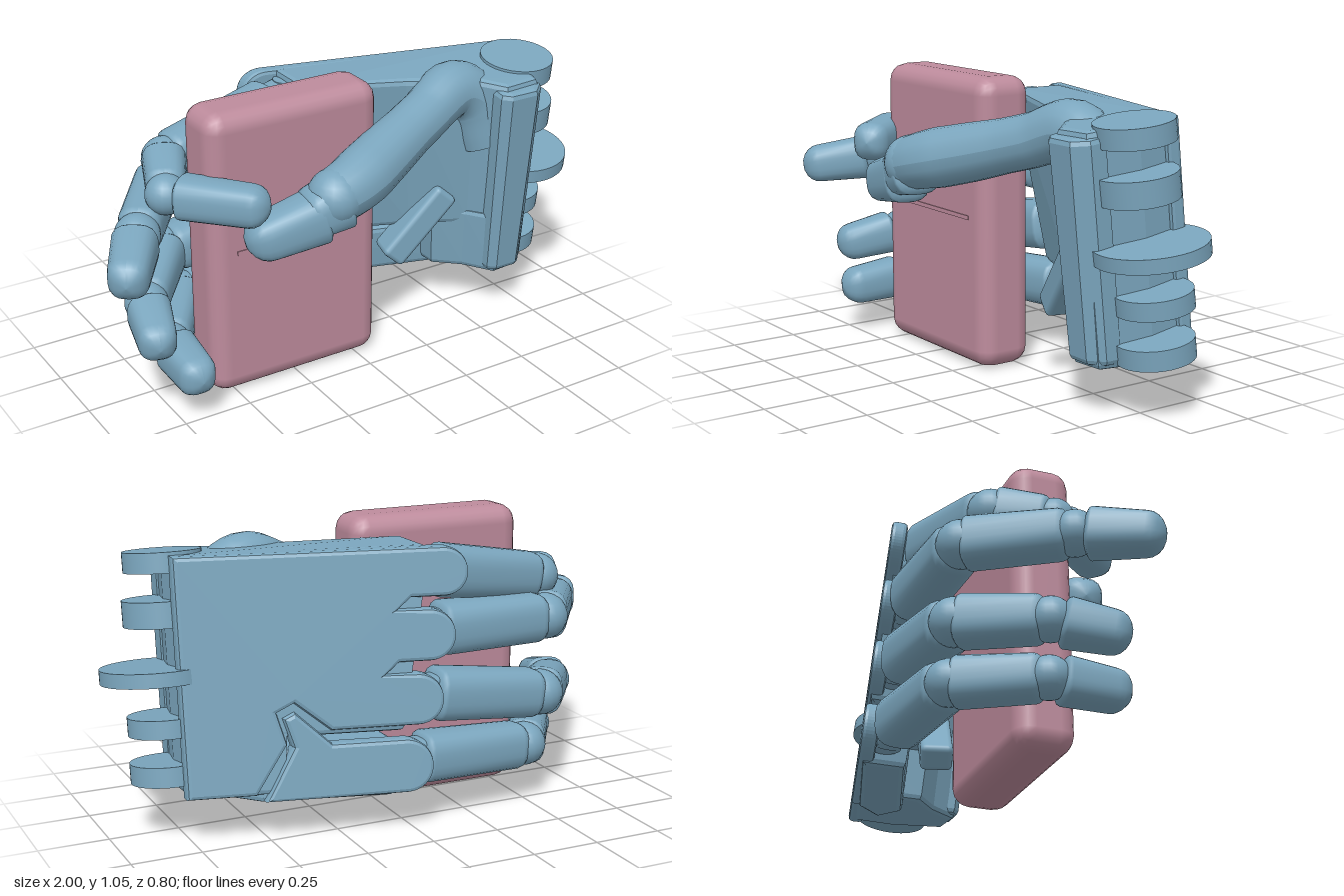
import * as THREE from 'three';
import { RoundedBoxGeometry } from 'three/addons/geometries/RoundedBoxGeometry.js';

const blue = new THREE.MeshStandardMaterial({ color: 0x7ba6be });
const pink = new THREE.MeshStandardMaterial({ color: 0xbd8b9c });
const V = (p) => new THREE.Vector3(...p);
const UP = new THREE.Vector3(0, 1, 0);

function add(parent, name, geometry, material = blue) {
  const mesh = new THREE.Mesh(geometry, material);
  mesh.name = name;
  parent.add(mesh);
  return mesh;
}

function ball(parent, name, c, r) {
  add(parent, name, new THREE.SphereGeometry(r, 20, 14)).position.set(...c);
}

// Rounded, slightly square bar from a to b; flat squeezes its depth, cap rounds its far end
function bar(parent, name, a, b, ra, rb, flat = 1, cap = 0.6) {
  const A = V(a), B = V(b), L = A.distanceTo(B);
  const ea = Math.min(0.35 * ra, L * 0.3), eb = Math.min(cap * rb, L * 0.45);
  const profile = [];
  for (let i = 0; i <= 5; i++) {
    const t = (i / 5) * Math.PI / 2;
    profile.push(new THREE.Vector2(ra * Math.sin(t), ea * (1 - Math.cos(t))));
  }
  for (let i = 0; i <= 5; i++) {
    const t = (i / 5) * Math.PI / 2;
    profile.push(new THREE.Vector2(rb * Math.cos(t), L - eb + eb * Math.sin(t)));
  }
  const g = new THREE.LatheGeometry(profile, 24);
  const p = g.attributes.position;
  for (let i = 0; i < p.count; i++) {
    const x = p.getX(i), z = p.getZ(i), r = Math.hypot(x, z) || 1;
    const f = Math.pow(Math.abs(x / r) ** 3 + Math.abs(z / r) ** 3 || 1, -1 / 3);
    p.setX(i, x * f * flat);
    p.setZ(i, z * f);
  }
  const dir = B.clone().sub(A).normalize();
  const side = dir.clone().cross(UP).normalize();
  g.applyMatrix4(new THREE.Matrix4().makeBasis(side, dir, side.clone().cross(dir)).setPosition(A));
  g.computeVertexNormals();
  add(parent, name, g);
}

function extrude(shape, depth, bevel) {
  return new THREE.ExtrudeGeometry(shape, {
    depth: depth - 2 * bevel, bevelThickness: bevel, bevelSize: bevel,
    bevelOffset: -bevel, bevelSegments: 2, curveSegments: 12,
  }).translate(0, 0, bevel);
}

// Plan outline (x, z) raised from y0 to y1, leaning with height as the hand does
function slab(parent, name, outline, y0, y1, bevel = 0.02) {
  const shape = new THREE.Shape(outline.map(([x, z]) => new THREE.Vector2(x, -z)));
  const g = extrude(shape, y1 - y0, bevel).rotateX(-Math.PI / 2).translate(0, y0, 0);
  const p = g.attributes.position;
  for (let i = 0; i < p.count; i++) {
    const x = p.getX(i), y = p.getY(i), z = p.getZ(i), h = y - 0.57;
    p.setX(i, x - 0.2 * h * THREE.MathUtils.clamp((0.7 - x) / 0.7, 0, 1));
    p.setZ(i, z + 0.1 * h);
    if (y > 0.7) p.setY(i, y - 0.13 * Math.max(0, z + 0.1));
  }
  g.computeVertexNormals();
  add(parent, name, g);
}

// Outline (x, y) laid onto the sloping back of the hand
function backPlate(parent, name, shape) {
  const g = extrude(shape, 0.06, 0.015);
  const p = g.attributes.position;
  for (let i = 0; i < p.count; i++) {
    const x = p.getX(i), y = p.getY(i);
    p.setZ(i, p.getZ(i) - 0.165 - 0.24 * (0.78 - x) + 0.11 * (y - 0.57));
  }
  g.computeVertexNormals();
  add(parent, name, g);
}

// Tube whose radius follows the list along its path
function taperedTube(parent, name, points, radii) {
  const curve = new THREE.CatmullRomCurve3(points.map(V));
  const n = 40, m = 20;
  const g = new THREE.TubeGeometry(curve, n, 1, m);
  const p = g.attributes.position, v = new THREE.Vector3();
  for (let i = 0; i <= n; i++) {
    const c = curve.getPointAt(i / n);
    const s = (i / n) * (radii.length - 1), j = Math.min(Math.floor(s), radii.length - 2);
    const r = THREE.MathUtils.lerp(radii[j], radii[j + 1], s - j);
    for (let k = 0; k <= m; k++) {
      const id = i * (m + 1) + k;
      v.fromBufferAttribute(p, id).sub(c).multiplyScalar(r).add(c);
      p.setXYZ(id, v.x, v.y, v.z);
    }
  }
  g.computeVertexNormals();
  add(parent, name, g);
}

function makeFinger(name, { joints, radii }) {
  const finger = new THREE.Group();
  finger.name = name;
  const [root, middle, last, tip] = joints;
  // Forked root on its hinge
  const start = V(root).lerp(V(middle), 0.13).toArray();
  add(finger, 'knuckleHinge', new THREE.CylinderGeometry(0.05, 0.05, 0.13, 20))
    .position.set(...root);
  for (const s of [-1, 1]) {
    const off = new THREE.Vector3(0, s * 0.045, 0);
    bar(finger, 'knuckleFork', V(root).add(off).toArray(),
      V(start).lerp(V(middle), 0.1).add(off).toArray(), 0.025, 0.025, 2);
  }
  // Phalanges and bends
  bar(finger, 'proximalPhalanx', start, middle, radii[0], radii[1], 0.95);
  ball(finger, 'middleJoint', middle, radii[1] * 0.95);
  bar(finger, 'middlePhalanx', middle, last, radii[1], radii[2], 0.9);
  ball(finger, 'endJoint', last, radii[2] * 0.95);
  bar(finger, 'fingertip', V(last).lerp(V(tip), 0.1).toArray(), tip, radii[2], radii[3], 0.95, 0.9);
  return finger;
}

export function createModel() {
  const model = new THREE.Group();

  // Held block
  const block = new THREE.Group();
  block.name = 'heldBlock';
  model.add(block);
  add(block, 'blockBody', new RoundedBoxGeometry(0.67, 1.055, 0.215, 2, 0.065), pink)
    .position.set(-0.25, 0.5275, 0.063);
  add(block, 'blockRidge', new THREE.BoxGeometry(0.48, 0.015, 0.012), pink)
    .position.set(-0.25, 0.55, 0.168);

  // Palm, wrist and outer palm bar
  const palm = new THREE.Group();
  palm.name = 'palm';
  model.add(palm);
  slab(palm, 'palmBody', [[0.0, -0.33], [0.76, -0.15], [0.77, 0.0], [0.73, 0.18],
    [0.6, 0.19], [0.53, 0.1], [0.32, 0.0], [0.0, -0.12]], 0.36, 0.99);
  slab(palm, 'wristHeel', [[0.42, -0.23], [0.76, -0.15], [0.77, 0.0], [0.73, 0.2],
    [0.6, 0.21], [0.52, 0.1], [0.42, 0.02]], 0.165, 0.42);
  slab(palm, 'outerPalmBar', [[0.0, -0.32], [0.5, -0.2], [0.6, -0.1], [0.5, -0.03],
    [0.0, -0.16]], 0.135, 0.32);
  const strut = add(palm, 'palmStrut', new RoundedBoxGeometry(0.33, 0.1, 0.12, 2, 0.02));
  strut.position.set(0.36, 0.38, 0.0);
  strut.rotation.set(0, -0.25, 0.85);
  slab(palm, 'wristCover', [[0.57, 0.12], [0.57, 0.2], [0.6, 0.225], [0.7, 0.225],
    [0.75, 0.18], [0.75, 0.12]], 0.18, 0.97);

  // Back of the hand, ending in rounded knuckle covers: y, tip x, radius
  const covers = [[0.905, -0.2, 0.085], [0.69, -0.15, 0.09], [0.47, -0.1, 0.09]];
  const back = new THREE.Shape().moveTo(0.78, 0.99);
  for (const [y, x, r] of covers) {
    back.lineTo(x + 0.2, y + r);
    back.absarc(x + r, y, r, Math.PI / 2, Math.PI * 1.5);
    back.lineTo(x + 0.2, y - r);
  }
  for (const [x, y] of [[0.29, 0.38], [0.41, 0.48], [0.47, 0.45], [0.44, 0.34],
    [0.55, 0.17], [0.78, 0.17]]) back.lineTo(x, y);
  backPlate(palm, 'handBack', back);
  const edge = new THREE.Shape().moveTo(0.52, 0.145).lineTo(0.42, 0.33)
    .lineTo(0.45, 0.43).lineTo(0.41, 0.45).lineTo(0.29, 0.335);
  edge.absarc(0.04, 0.24, 0.095, Math.PI / 2, Math.PI * 1.5);
  backPlate(palm, 'handBackEdge', edge);

  // Wrist hinge plates: y, radius, thickness, x, z
  const plates = [[0.95, 0.135, 0.07, 0.76, 0.05], [0.775, 0.14, 0.09, 0.765, 0.04],
    [0.57, 0.195, 0.05, 0.805, 0.012], [0.395, 0.135, 0.065, 0.785, -0.02],
    [0.23, 0.135, 0.07, 0.785, -0.03]];
  for (const [y, r, h, x, z] of plates) {
    const plate = add(palm, 'wristHingePlate', new THREE.CylinderGeometry(r, r, h, 40));
    plate.position.set(x, y, z);
    plate.rotation.x = 0.13;
  }

  // Four fingers: root, two bends and tip
  const fingers = {
    indexFinger: { joints: [[-0.06, 0.9, -0.23], [-0.6, 0.81, -0.14], [-0.69, 0.775, 0.05],
      [-0.45, 0.775, 0.33]], radii: [0.095, 0.085, 0.075, 0.07] },
    middleFinger: { joints: [[-0.05, 0.69, -0.26], [-0.58, 0.68, -0.24], [-0.81, 0.66, 0.07],
      [-0.97, 0.62, 0.32]], radii: [0.095, 0.088, 0.083, 0.072] },
    ringFinger: { joints: [[-0.02, 0.47, -0.28], [-0.56, 0.4, -0.255], [-0.76, 0.36, 0.0],
      [-0.83, 0.31, 0.25]], radii: [0.095, 0.088, 0.08, 0.07] },
    littleFinger: { joints: [[0.03, 0.24, -0.29], [-0.5, 0.21, -0.25], [-0.69, 0.19, 0.02],
      [-0.7, 0.17, 0.3]], radii: [0.09, 0.084, 0.078, 0.07] },
  };
  for (const [name, spec] of Object.entries(fingers)) model.add(makeFinger(name, spec));

  // Thumb
  const thumb = new THREE.Group();
  thumb.name = 'thumb';
  model.add(thumb);
  taperedTube(thumb, 'thumbShaft', [[0.6, 0.7, 0.08], [0.55, 0.86, 0.06], [0.46, 0.915, 0.065],
    [0.3, 0.865, 0.12], [0.1, 0.81, 0.2], [-0.1, 0.76, 0.285], [-0.18, 0.74, 0.3]],
  [0.1, 0.11, 0.105, 0.095, 0.096, 0.104, 0.108, 0.098]);
  ball(thumb, 'thumbJoint', [-0.18, 0.74, 0.3], 0.1);
  bar(thumb, 'thumbLink', [-0.13, 0.73, 0.3], [-0.3, 0.68, 0.28], 0.095, 0.085);
  bar(thumb, 'thumbTip', [-0.21, 0.685, 0.29], [-0.5, 0.62, 0.25], 0.094, 0.08, 0.95, 1);

  return model;
}
